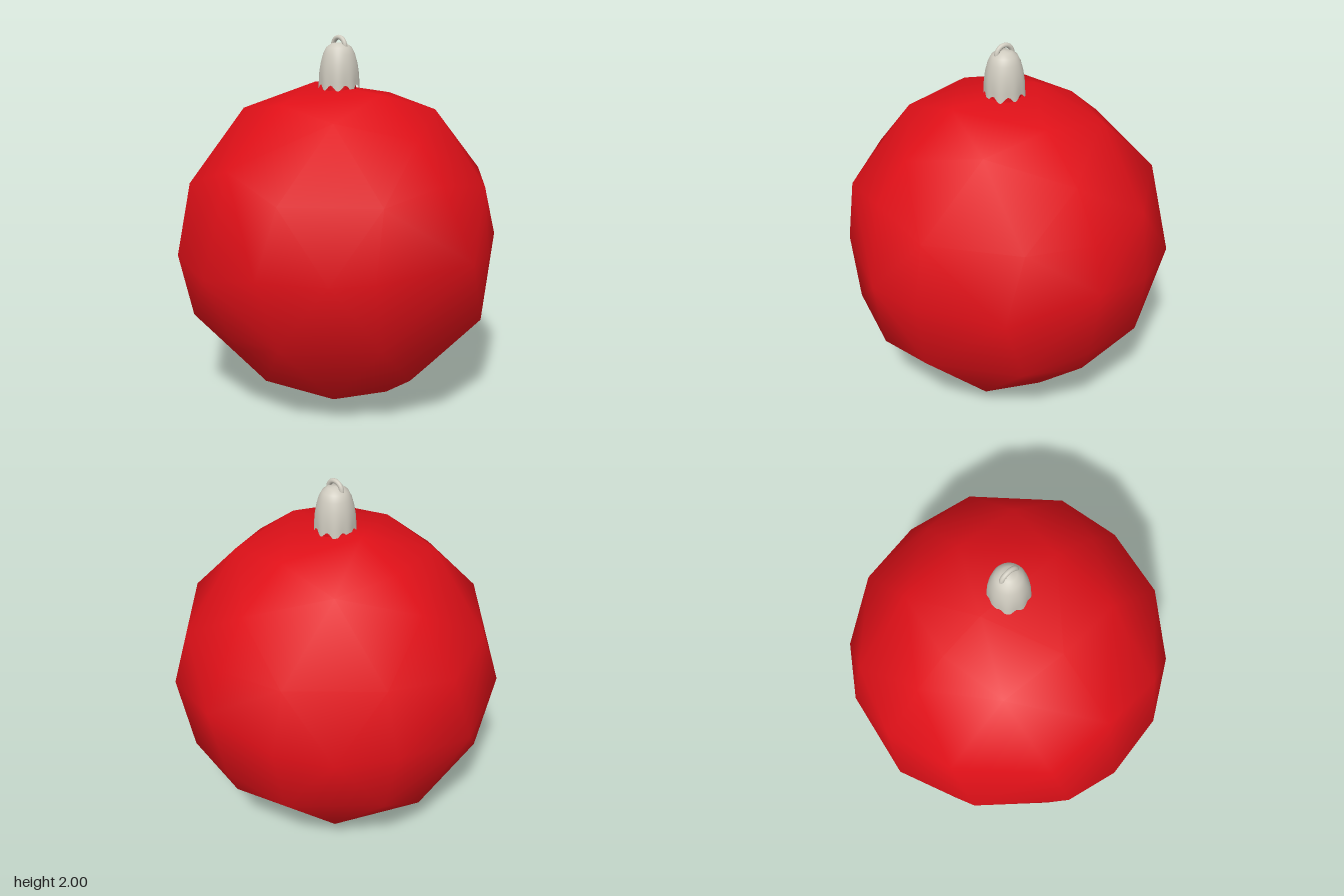
import * as THREE from 'three';
import { ConvexGeometry } from 'three/addons/geometries/ConvexGeometry.js';

const CENTRE = new THREE.Vector3(0, 0.87, 0);
const RADIUS = 0.9;
const red = new THREE.MeshStandardMaterial({ color: 0xe01018 });
const metal = new THREE.MeshStandardMaterial({ color: 0xd0ccc0, side: THREE.DoubleSide });

// Irregular low-poly ball: three uneven outlines plus points filling each octant
function createBall() {
  const v = (x, y, z) => new THREE.Vector3(x, y, z);
  const frontOutline = [[0.38, 1.66], [0.65, 1.46], [0.81, 1.21], [0.81, 0.54], [0.75, 0.4],
    [0.37, 0.03], [-0.18, 0], [-0.53, 0.17], [-0.71, 0.39], [-0.76, 0.47], [-0.76, 1.36], [-0.4, 1.66]];
  const sideOutline = [[0.32, 1.71], [0.6, 1.5], [0.78, 1.3], [0.78, 0.43], [0.57, 0.2], [0.39, 0.08],
    [0.15, 0], [-0.24, 0], [-0.66, 0.25], [-0.85, 1.18], [-0.62, 1.46], [-0.44, 1.62], [-0.19, 1.735]];
  const topOutline = [[0.37, -0.82], [0.64, -0.64], [0.8, -0.36], [0.75, 0.49], [0.36, 0.78],
    [-0.43, 0.75], [-0.63, 0.63], [-0.84, 0.32], [-0.85, -0.33], [-0.53, -0.73]];
  const points = [
    v(0.9, 0.98, 0.02), v(-0.9, 0.81, -0.03), v(0.12, 0.9, 0.89), v(-0.1, 0.79, -0.9),
    ...frontOutline.map(([x, y]) => v(x, y, 0)),
    ...sideOutline.map(([z, y]) => v(0, y, z)),
    ...topOutline.map(([x, z]) => v(x, CENTRE.y, z)),
  ];
  for (const sx of [-1, 1]) for (const sy of [-1, 1]) for (const sz of [-1, 1]) {
    for (const [a, b, c] of [[1, 1, 2], [1, 2, 1], [2, 1, 1]]) {
      points.push(v(a * sx, b * sy, c * sz).setLength(RADIUS).add(CENTRE));
    }
  }
  const geometry = new ConvexGeometry(points);

  // Radial normals give the faceted outline a smooth surface
  const position = geometry.attributes.position;
  const p = new THREE.Vector3();
  for (let i = 0; i < position.count; i++) {
    p.fromBufferAttribute(position, i).sub(CENTRE).normalize();
    geometry.attributes.normal.setXYZ(i, p.x, p.y, p.z);
  }
  return geometry;
}

// Fluted, slightly square cap with a scalloped rim
function createCap() {
  const profile = [[0.105, 1.725], [0.104, 1.76], [0.103, 1.8], [0.097, 1.85], [0.085, 1.9],
    [0.068, 1.935], [0.04, 1.955], [0.0001, 1.96]].map(([r, y]) => new THREE.Vector2(r, y));
  const geometry = new THREE.LatheGeometry(profile, 64);
  const position = geometry.attributes.position;
  for (let i = 0; i < position.count; i++) {
    const x = position.getX(i), y = position.getY(i), z = position.getZ(i);
    const angle = Math.atan2(z, x);
    const low = THREE.MathUtils.clamp((1.92 - y) / 0.19, 0, 1);
    const wave = Math.cos(8 * angle);
    const scale = 1 + low * (0.03 * (1 - Math.cos(4 * angle)) + 0.025 * (wave - 1) * low);
    const drop = y < 1.74 ? 0.015 * wave : 0;
    position.setXYZ(i, x * scale, y - drop, z * scale);
  }
  geometry.computeVertexNormals();
  // Match normals across the lathe seam
  const normal = geometry.attributes.normal;
  const n = profile.length;
  for (let j = 0; j < n; j++) {
    const k = 64 * n + j;
    const sum = new THREE.Vector3().fromBufferAttribute(normal, j)
      .add(new THREE.Vector3().fromBufferAttribute(normal, k)).normalize();
    normal.setXYZ(j, sum.x, sum.y, sum.z);
    normal.setXYZ(k, sum.x, sum.y, sum.z);
  }
  return geometry;
}

export function createModel() {
  const group = new THREE.Group();
  group.name = 'bauble';
  const add = (name, geometry, material) => {
    const mesh = new THREE.Mesh(geometry, material);
    mesh.name = name;
    group.add(mesh);
    return mesh;
  };

  add('ball', createBall(), red);

  // Short neck between ball and cap
  add('neck', new THREE.CylinderGeometry(0.09, 0.095, 0.1, 24), red).position.y = 1.71;

  add('cap', createCap(), metal);

  // Hanging loop, standing front to back
  const loop = add('hangingLoop', new THREE.TorusGeometry(0.047, 0.013, 12, 32), metal);
  loop.rotation.y = Math.PI / 2;
  loop.position.y = 1.94;

  return group;
}
